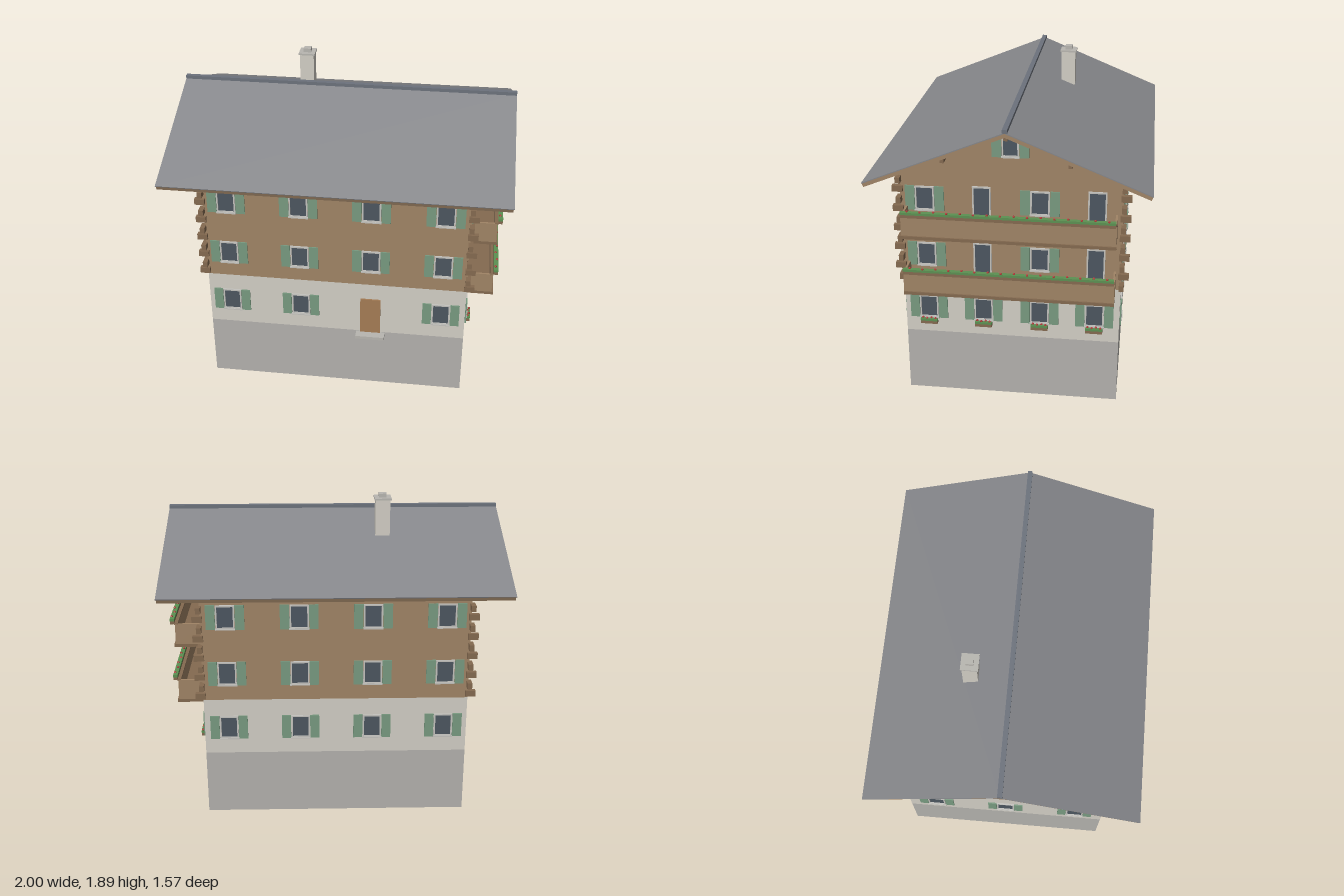
import * as THREE from 'three';

const W = 0.78, D = 0.63;            // half width and half depth of the walls
const RIDGE = 1.755, SLOPE = 0.408;  // roof top line

const mat = (color, side = THREE.FrontSide) =>
  new THREE.MeshStandardMaterial({ color, side, flatShading: true });
const M = {
  concrete: mat(0xb3b1ad, THREE.DoubleSide), plaster: mat(0xd2cec5, THREE.DoubleSide),
  wood: mat(0xa08466, THREE.DoubleSide), beam: mat(0x846a50), door: mat(0xa57c55),
  roof: mat(0x85868a), ridge: mat(0x6c727c), frame: mat(0xc4c3be), glass: mat(0x4c5660),
  shutter: mat(0x789a80), leaf: mat(0x5c9152), flower: mat(0xb03a3a), stone: mat(0xb8b6b0),
};

function mesh(parent, name, geo, material, x = 0, y = 0, z = 0) {
  const m = new THREE.Mesh(geo, material);
  m.name = name;
  m.position.set(x, y, z);
  parent.add(m);
  return m;
}
const box = (parent, name, material, w, h, d, x, y, z) =>
  mesh(parent, name, new THREE.BoxGeometry(w, h, d), material, x, y, z);

function group(parent, name, x = 0, y = 0, z = 0) {
  const g = new THREE.Group();
  g.name = name;
  g.position.set(x, y, z);
  parent.add(g);
  return g;
}

const poly = pts => new THREE.Shape(pts.map(p => new THREE.Vector2(...p)));

// Wall-local frame: x along the wall, z pointing outward from its surface
function makeWindow(wall, x, y, { w = 0.11, h = 0.145, shutters = true } = {}) {
  const g = group(wall, 'window', x, y, 0);
  const a = w / 2, b = h / 2, t = 0.009;
  const outline = poly([[-a, -b], [a, -b], [a, b], [-a, b]]);
  outline.holes.push(new THREE.Path([[-a + t, -b + t], [-a + t, b - t], [a - t, b - t], [a - t, -b + t]]
    .map(p => new THREE.Vector2(...p))));
  mesh(g, 'windowFrame', new THREE.ExtrudeGeometry(outline, { depth: 0.035, bevelEnabled: false }), M.frame, 0, 0, -0.025);
  box(g, 'windowPane', M.glass, w - 2 * t, h - 2 * t, 0.02, 0, 0, -0.007);
  box(g, 'windowSill', M.frame, w + 0.006, 0.008, 0.02, 0, -b, 0.006);
  if (shutters) for (const s of [-1, 1])
    box(g, 'shutter', M.shutter, 0.054, h + 0.004, 0.008, s * (a + 0.029), 0, 0.006);
}

// Planter trough with foliage and a row of blossoms along x
function makePlanter(parent, length, count, x, y, z) {
  const g = group(parent, 'planter', x, y, z);
  box(g, 'trough', M.beam, length, 0.018, 0.024, 0, 0, 0);
  box(g, 'foliage', M.leaf, length, 0.014, 0.026, 0, 0.016, 0);
  const blossom = new THREE.IcosahedronGeometry(0.008, 0);
  for (let i = 0; i < count; i++)
    mesh(g, 'blossom', blossom, M.flower, ((i + 0.5) / count - 0.5) * length, 0.025, i % 2 ? 0.005 : -0.003);
}

function makeBalcony(wall, y) {
  const g = group(wall, 'balcony', 0, y, 0);
  box(g, 'balconyFloor', M.beam, 1.2, 0.018, 0.155, 0, 0.009, 0.0775);
  box(g, 'balconyFront', M.wood, 1.2, 0.124, 0.012, 0, 0.08, 0.14);
  box(g, 'handrail', M.beam, 1.2, 0.008, 0.02, 0, 0.141, 0.14);
  for (const s of [-1, 1]) box(g, 'balconySide', M.wood, 0.012, 0.124, 0.134, s * 0.594, 0.08, 0.067);
  makePlanter(g, 1.19, 16, 0, 0.148, 0.162);
}

// One side of the house: flat bands of concrete, plaster and timber
function makeWall(house, name, half, dist, angle, gable) {
  const wall = group(house, name, Math.sin(angle) * dist, 0, Math.cos(angle) * dist);
  wall.rotation.y = angle;
  const band = (n, m, y0, y1) =>
    mesh(wall, n, new THREE.PlaneGeometry(half * 2, y1 - y0), m, 0, (y0 + y1) / 2, 0);
  band('basementWall', M.concrete, 0, 0.4);
  band('plasterWall', M.plaster, 0.4, 0.75);
  const eave = RIDGE - 0.028 - SLOPE * D;
  const pts = [[-half, 0.75], [half, 0.75], [half, eave], [-half, eave]];
  if (gable) pts.splice(3, 0, [0, RIDGE - 0.028]);
  mesh(wall, 'timberWall', new THREE.ShapeGeometry(poly(pts)), M.wood);
  return wall;
}

// Gabled layer running the length of the house; drop is measured below the roof line
function roofLayer(house, name, material, top, bottom, length) {
  const z = 0.786, lean = 0.35;
  const at = (s, drop) => [s * (z - drop * lean), RIDGE - drop - SLOPE * (z - drop * lean)];
  const shape = poly([[0, RIDGE - top], at(-1, top), at(-1, bottom), [0, RIDGE - bottom], at(1, bottom), at(1, top)]);
  const geo = new THREE.ExtrudeGeometry(shape, { depth: length, bevelEnabled: false });
  geo.translate(0, 0, -length / 2).rotateY(Math.PI / 2);
  mesh(house, name, geo, material);
}

export function createModel() {
  const house = new THREE.Group();
  house.name = 'chalet';

  const front = makeWall(house, 'frontWall', W, D, 0, false);
  const back = makeWall(house, 'backWall', W, D, Math.PI, false);
  const right = makeWall(house, 'balconyWall', D, W, Math.PI / 2, true);
  const left = makeWall(house, 'plainGableWall', D, W, -Math.PI / 2, true);

  // Windows on the long walls and the plain gable
  for (const y of [0.572, 0.92, 1.27]) {
    for (const x of [-0.64, -0.215, 0.21, 0.635]) {
      if (x !== 0.21 || y > 0.7) makeWindow(front, x, y);
      makeWindow(back, -x, y);
    }
    for (const x of [-0.45, 0, 0.45]) makeWindow(left, x, y);
  }
  for (const wall of [left, right]) makeWindow(wall, 0, 1.6, { w: 0.096, h: 0.125 });

  // Entrance door and step
  box(front, 'entranceDoor', M.door, 0.122, 0.245, 0.02, 0.21, 0.522, 0);
  box(front, 'doorStep', M.stone, 0.175, 0.02, 0.055, 0.212, 0.388, 0.0275);

  // Balcony side: planted windows below, windows and balcony doors above
  [-0.49, -0.165, 0.165, 0.485].forEach((x, i) => {
    makeWindow(right, x, 0.572);
    makePlanter(right, 0.1, 4, x, 0.475, 0.02);
    for (const floor of [0.743, 1.093]) {
      if (i % 2) makeWindow(right, x, floor + 0.13, { w: 0.105, h: 0.26, shutters: false });
      else makeWindow(right, x, floor + 0.175);
    }
  });
  for (const y of [0.725, 1.077]) makeBalcony(right, y);

  // Interlocking log ends at the four corners
  for (const sx of [-1, 1]) for (const sz of [-1, 1]) {
    const corner = group(house, 'cornerLogs', sx * W, 0, sz * D);
    for (let i = 0; i < 12; i++) {
      const y = 0.78 + i * 0.0602;
      if (i % 2) box(corner, 'logEnd', M.beam, 0.028, 0.036, 0.06, sx * 0.004, y, sz * 0.014);
      else box(corner, 'logEnd', M.beam, 0.06, 0.036, 0.028, sx * 0.014, y, sz * 0.004);
    }
  }

  // Roof: wooden deck, covering, ridge cap and purlins
  roofLayer(house, 'roofDeck', M.wood, 0.006, 0.03, 1.99);
  roofLayer(house, 'roofCovering', M.roof, 0, 0.006, 2);
  box(house, 'ridgeCap', M.ridge, 2, 0.02, 0.028, 0, 1.76, 0);
  for (const [z, y] of [[0, 1.712], [-0.345, 1.572], [0.345, 1.572]])
    for (const s of [-1, 1]) box(house, 'purlin', M.beam, 0.21, 0.028, 0.022, s * 0.865, y, z);

  // Chimney
  const chimney = group(house, 'chimney', -0.285, 0, -0.228);
  box(chimney, 'chimneyStack', M.plaster, 0.086, 0.26, 0.086, 0, 1.73, 0);
  box(chimney, 'chimneyCap', M.stone, 0.1, 0.01, 0.1, 0, 1.863, 0);
  box(chimney, 'chimneyPot', M.stone, 0.044, 0.024, 0.044, 0, 1.879, 0);

  return house;
}
